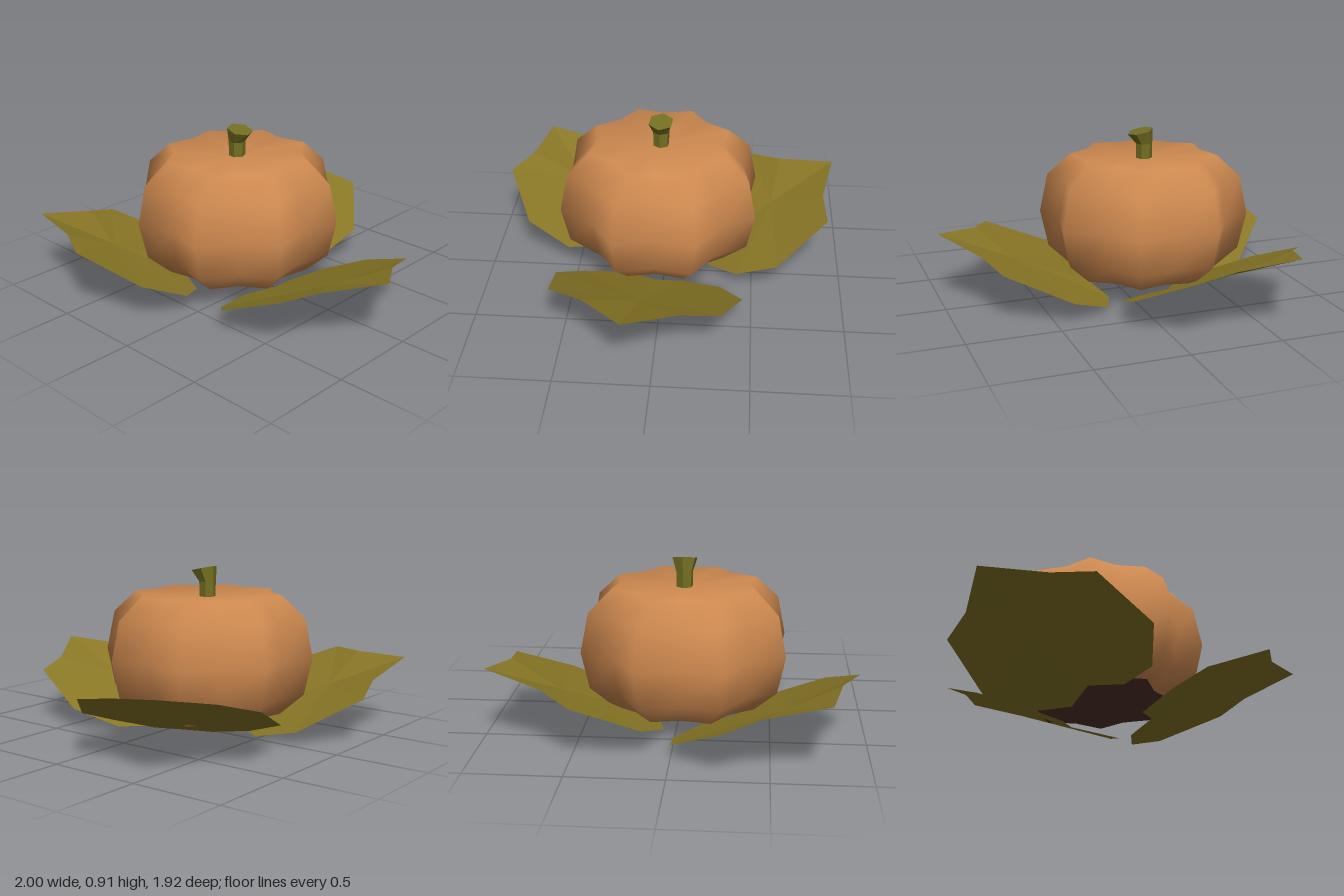
import * as THREE from 'three';

const orange = new THREE.MeshStandardMaterial({ name: 'pumpkin orange', color: 0xcf8a50 });
const brown = new THREE.MeshStandardMaterial({ name: 'underside brown', color: 0x53322d });
const stemGreen = new THREE.MeshStandardMaterial({ name: 'stem green', color: 0x746f22 });
const leafGreen = new THREE.MeshStandardMaterial({ name: 'leaf green', color: 0x8a7826, side: THREE.DoubleSide });

const CX = -0.15, CZ = 0.035;

function makeMesh(name, points, index, material, flat) {
  let g = new THREE.BufferGeometry();
  g.setAttribute('position', new THREE.Float32BufferAttribute(points.flat(), 3));
  g.setIndex(index);
  if (flat) g = g.toNonIndexed();
  g.computeVertexNormals();
  const mesh = new THREE.Mesh(g, material);
  mesh.name = name;
  return mesh;
}

// Joins rings of points, listed from bottom to top, and closes the top on a centre point
function loft(name, rings, top, material, flat) {
  const n = rings[0].length, index = [], last = (rings.length - 1) * n;
  for (let r = 0; r < rings.length - 1; r++) {
    for (let i = 0; i < n; i++) {
      const a = r * n + i, b = r * n + (i + 1) % n;
      index.push(a, a + n, b, b, a + n, b + n);
    }
  }
  for (let i = 0; i < n; i++) index.push(last + i, rings.length * n, last + (i + 1) % n);
  return makeMesh(name, [...rings.flat(), top], index, material, flat);
}

// Ring with eight ridges and eight valleys
function lobedRing(radius, y) {
  return Array.from({ length: 16 }, (_, i) => {
    const a = i * Math.PI / 8, r = radius * (i % 2 ? 1 : 0.846);
    return [CX + r * Math.cos(a), y, CZ + r * Math.sin(a)];
  });
}

// Fan of triangles facing up around a centre point
function fan(name, outline, centre, material, down) {
  const n = outline.length, index = [];
  for (let i = 0; i < n; i++) {
    const j = (i + 1) % n;
    index.push(n, ...(down ? [i, j] : [j, i]));
  }
  return makeMesh(name, [...outline, centre], index, material, true);
}

// Each outline starts at the tip and has the base notch as its seventh point
const LEAVES = {
  leftLeaf: [
    [1, 0.39, 0.145], [0.75, 0.335, 0.37], [0.64, 0.31, 0.56], [0.27, 0.145, 0.585],
    [0.13, 0.06, 0.45], [0.06, 0.015, 0.2], [0.17, 0.05, 0.045], [0.11, 0.005, -0.12],
    [0.19, 0.03, -0.33], [0.41, 0.12, -0.45], [0.76, 0.28, -0.34], [0.82, 0.32, -0.13],
  ],
  frontLeaf: [
    [-0.97, 0.39, 0.79], [-0.95, 0.31, 0.46], [-1, 0.245, 0.26], [-0.75, 0.08, 0],
    [-0.5, 0.02, 0], [-0.31, 0.02, 0.14], [-0.28, 0.07, 0.325], [-0.11, 0.07, 0.4],
    [-0.02, 0.115, 0.56], [-0.1, 0.23, 0.8], [-0.44, 0.37, 0.955], [-0.64, 0.38, 0.855],
  ],
  backLeaf: [
    [-0.61, 0.41, -0.965], [-0.29, 0.36, -0.9], [-0.07, 0.33, -0.92], [0.165, 0.17, -0.64],
    [0.14, 0.09, -0.41], [-0.01, 0.04, -0.25], [-0.195, 0.06, -0.25], [-0.287, 0.03, -0.1],
    [-0.5, 0.06, -0.05], [-0.755, 0.15, -0.144], [-0.865, 0.3, -0.486], [-0.73, 0.35, -0.66],
  ],
};

export function createModel() {
  const group = new THREE.Group();

  // Ribbed body with a shallow dip on top
  const profile = [[0.41, 0.11], [0.54, 0.225], [0.585, 0.43], [0.54, 0.645], [0.41, 0.765]];
  const rings = profile.map(([r, y]) => lobedRing(r, y));
  group.add(loft('pumpkinBody', rings, [CX, 0.745, CZ], orange, false));
  group.add(fan('underside', rings[0], [CX, 0.11, CZ], brown, true));

  // Six-sided stem, flared and slanted at its cut end
  const stem = [[-0.153, 0.72, 0.045, 0], [-0.153, 0.83, 0.047, 0], [-0.13, 0.9, 0.071, 0.22]]
    .map(([x, y, r, slant]) => Array.from({ length: 6 }, (_, i) => {
      const a = 0.14 + i * Math.PI / 3, dx = r * Math.cos(a);
      return [x + dx, y - slant * dx, 0.03 + r * Math.sin(a)];
    }));
  group.add(loft('stem', stem, [-0.13, 0.9, 0.03], stemGreen, true));

  // Three leaves, each creased along its midrib
  for (const [name, outline] of Object.entries(LEAVES)) {
    const middle = outline[0].map((v, k) => (v + outline[6][k]) / 2);
    group.add(fan(name, outline, middle, leafGreen, false));
  }
  return group;
}
